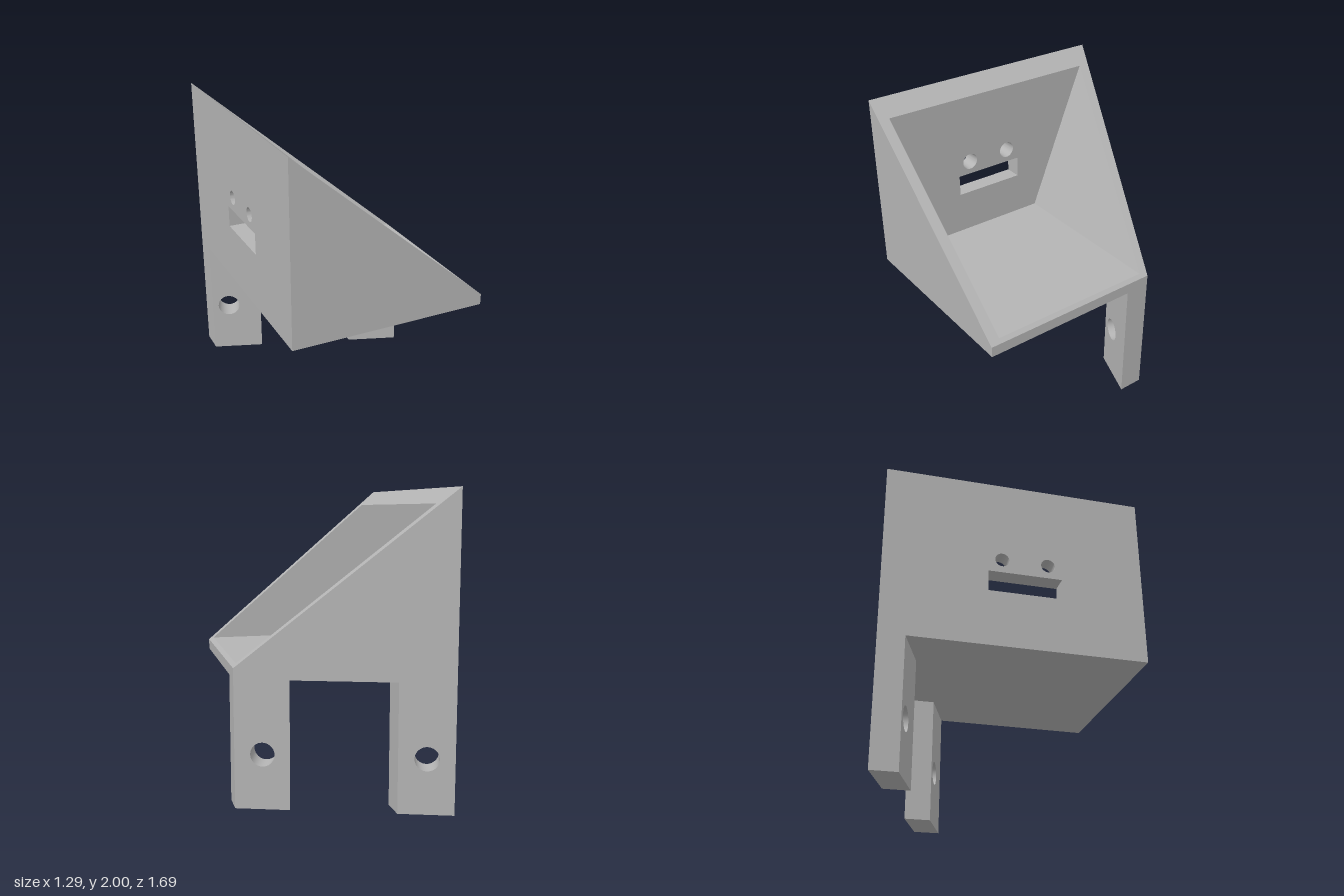
import * as THREE from 'three';
import { toCreasedNormals } from 'three/addons/utils/BufferGeometryUtils.js';

const V = (x, y, z) => new THREE.Vector3(x, y, z);

// Outer size
const X = 0.645, Z = 0.845, BASE = 0.83, LOW = 0.9, TOP = 2;
const BACK_SLOPE = (Z - 0.38) / (2 * X);
const backZ = (x) => -Z + (x + X) * BACK_SLOPE;
const rimY = (x) => TOP - (TOP - LOW) * (x + X) / (2 * X);

// Collects flat faces (with holes) and wall strips into one geometry.
class Shell {
  constructor() { this.pos = []; }

  // Planar polygon with hole loops, turned to face the outward direction
  face(outer, outward, holes = []) {
    const a = [Math.abs(outward.x), Math.abs(outward.y), Math.abs(outward.z)];
    const drop = a.indexOf(Math.max(...a));
    const flat = (p) => drop === 0 ? new THREE.Vector2(p.y, p.z)
      : drop === 1 ? new THREE.Vector2(p.x, p.z) : new THREE.Vector2(p.x, p.y);
    const points = [outer, ...holes].flat();
    const tris = THREE.ShapeUtils.triangulateShape(outer.map(flat), holes.map((h) => h.map(flat)));
    for (const [i, j, k] of tris) {
      const p = points[i], q = points[j], r = points[k];
      const n = q.clone().sub(p).cross(r.clone().sub(p));
      const order = n.dot(outward) > 0 ? [p, q, r] : [p, r, q];
      for (const v of order) this.pos.push(v.x, v.y, v.z);
    }
  }

  // Quads joining two loops; sign 1 faces away from the axis, -1 towards it
  strip(a, b, sign) {
    const mid = V(0, 0, 0);
    for (const p of [...a, ...b]) mid.addScaledVector(p, 0.5 / a.length);
    a.forEach((p, i) => {
      const j = (i + 1) % a.length;
      const n = a[j].clone().sub(p).cross(b[i].clone().sub(p));
      const out = p.clone().add(b[j]).multiplyScalar(0.5).sub(mid).multiplyScalar(sign);
      if (n.dot(out) < 0) n.negate();
      this.face([p, a[j], b[j], b[i]], n);
    });
  }

  mesh(name, material) {
    const g = new THREE.BufferGeometry();
    g.setAttribute('position', new THREE.Float32BufferAttribute(this.pos, 3));
    const m = new THREE.Mesh(toCreasedNormals(g, 0.5), material);
    m.name = name;
    return m;
  }
}

// Circle in the plane of a horizontal direction and the y axis
function circle(centre, along, r, n = 40) {
  return Array.from({ length: n }, (_, i) => {
    const t = i / n * Math.PI * 2;
    return centre.clone().addScaledVector(along, r * Math.cos(t)).add(V(0, r * Math.sin(t), 0));
  });
}

// Slanted open bin with a wedge-shaped cavity
function makeHopper(material) {
  const s = new Shell();
  const plan = [[-X, backZ(-X)], [X, backZ(X)], [X, Z], [-X, Z]];
  const bottom = plan.map(([x, z]) => V(x, BASE, z));
  const top = plan.map(([x, z]) => V(x, rimY(x), z));

  const x0 = -0.53, x1 = 0.62, z0 = -0.73, z1 = -0.33, z2 = 0.775;
  const floor = rimY(x1), high = rimY(x0);
  const backLow = V(x0, floor, z1), frontLow = V(x0, floor, z2);
  const backTop = V(x0, high, z0), frontTop = V(x0, high, z2);
  const backLip = V(x1, floor, z1), frontLip = V(x1, floor, z2);

  // Two tapered round holes and a slot through the tall wall
  const inner = [], outer = [];
  for (const z of [0.21, -0.09]) {
    inner.push(circle(V(x0, 1.435, z), V(0, 0, 1), 0.055));
    outer.push(circle(V(-X, 1.435, z), V(0, 0, 1), 0.046));
  }
  const slot = (x) => [V(x, 1.205, -0.18), V(x, 1.205, 0.3), V(x, 1.345, 0.3), V(x, 1.345, -0.18)];
  inner.push(slot(x0));
  outer.push(slot(-X));
  inner.forEach((loop, i) => s.strip(loop, outer[i], -1));

  // Outside faces and rim
  s.face(bottom, V(0, -1, 0));
  s.face([bottom[0], bottom[1], top[1], top[0]], V(BACK_SLOPE, 0, -1));
  s.face([bottom[1], bottom[2], top[2], top[1]], V(1, 0, 0));
  s.face([bottom[2], bottom[3], top[3], top[2]], V(0, 0, 1));
  s.face([bottom[3], bottom[0], top[0], top[3]], V(-1, 0, 0), outer);
  s.face(top, V(0.85, 1, 0), [[backTop, backLip, frontLip, frontTop]]);

  // Cavity faces
  s.face([backLow, backLip, frontLip, frontLow], V(0, 1, 0));
  s.face([backLow, frontLow, frontTop, backTop], V(1, 0, 0), inner);
  s.face([frontLow, frontLip, frontTop], V(0, 0, -1));
  s.face([backLow, backLip, backTop], V(0, 0.4, 0.98));
  return s.mesh('hopper', material);
}

// Flat leg in line with the angled back, with a bolt hole square to it
function makeLeg(name, xa, xb, holeX, material) {
  const s = new Shell();
  const depth = 0.167;
  const along = V(1, 0, BACK_SLOPE).normalize();
  const normal = V(along.z, 0, -along.x);
  const outline = (dz) => [[xa, 0], [xb, 0], [xb, BASE], [xa, BASE]]
    .map(([x, y]) => V(x, y, backZ(x) + dz));
  const front = outline(depth), back = outline(0);
  const centre = V(holeX, 0.355, backZ(holeX) + depth);
  const frontHole = circle(centre, along, 0.077);
  const backHole = circle(centre.clone().addScaledVector(normal, depth * along.x), along, 0.077);
  s.face(front, normal.clone().negate(), [frontHole]);
  s.face(back, normal, [backHole]);
  s.strip(front, back, 1);
  s.strip(frontHole, backHole, -1);
  return s.mesh(name, material);
}

export function createModel() {
  const grey = new THREE.MeshStandardMaterial({ color: 0xb4b4b4 });
  grey.name = 'grey';
  const model = new THREE.Group();
  model.name = 'wallHopper';
  model.add(
    makeHopper(grey),
    makeLeg('rightLeg', -X, -0.315, -0.535, grey),
    makeLeg('leftLeg', 0.315, X, 0.425, grey),
  );
  return model;
}
